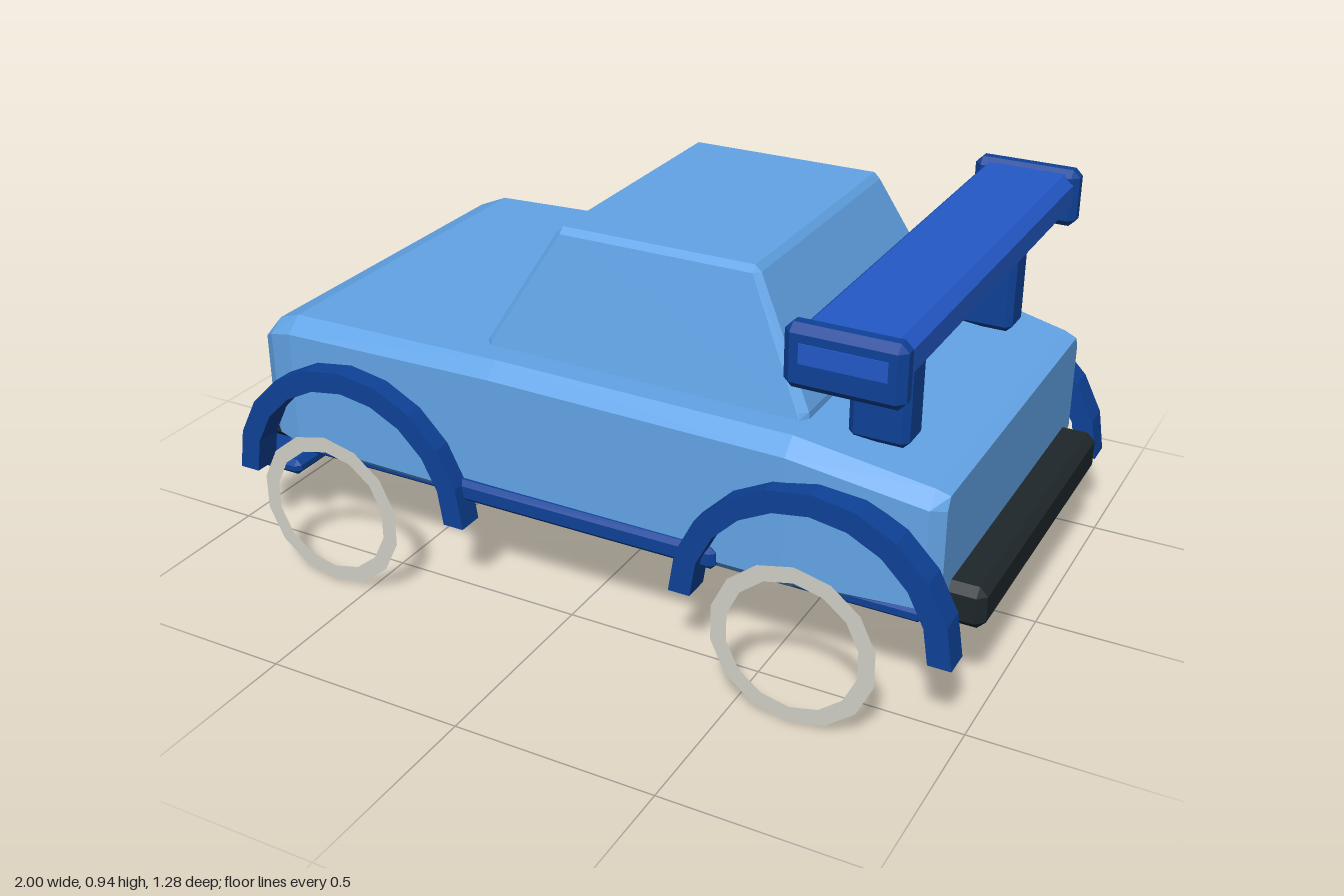
import * as THREE from 'three';
import { ConvexGeometry } from 'three/addons/geometries/ConvexGeometry.js';

const paint = (name, color) => {
  const m = new THREE.MeshStandardMaterial({ color });
  m.name = name;
  return m;
};

// Box given by its limits, with every edge chamfered by b
function chamferBox([x0, x1], [y0, y1], [z0, z1], b) {
  const c = [(x0 + x1) / 2, (y0 + y1) / 2, (z0 + z1) / 2];
  const h = [(x1 - x0) / 2, (y1 - y0) / 2, (z1 - z0) / 2];
  const pts = [];
  for (const sx of [-1, 1]) for (const sy of [-1, 1]) for (const sz of [-1, 1]) {
    for (let out = 0; out < 3; out++) {
      const d = h.map((v, i) => (i === out ? v : v - b));
      pts.push(new THREE.Vector3(c[0] + sx * d[0], c[1] + sy * d[1], c[2] + sz * d[2]));
    }
  }
  return new ConvexGeometry(pts);
}

// Convex shell through mirrored points [x, y, halfWidth]
function mirroredHull(rows) {
  const pts = [];
  for (const [x, y, w] of rows) for (const s of [-1, 1]) pts.push(new THREE.Vector3(x, y, s * w));
  return new ConvexGeometry(pts);
}

export function createModel() {
  const car = new THREE.Group();
  car.name = 'car';
  const lightBlue = paint('light blue paint', 0x62a4e6);
  const midBlue = paint('wing blue', 0x2359c8);
  const darkBlue = paint('dark blue trim', 0x0e4298);
  const black = paint('black plastic', 0x1e272b);
  const silver = paint('silver ring', 0xcfcfc6);
  silver.side = THREE.DoubleSide;

  const add = (name, geometry, material) => {
    const mesh = new THREE.Mesh(geometry, material);
    mesh.name = name;
    car.add(mesh);
    return mesh;
  };

  // Body: sections along x as [x, bottom, shoulder, shoulderWidth, top, topWidth]
  const sections = [
    [-0.91, 0.28, 0.54, 0.455, 0.54, 0.45],
    [-0.86, 0.265, 0.57, 0.495, 0.6, 0.455],
    [-0.79, 0.26, 0.59, 0.512, 0.628, 0.47],
    [-0.2, 0.26, 0.605, 0.522, 0.642, 0.485],
    [0.56, 0.26, 0.597, 0.526, 0.634, 0.485],
    [0.88, 0.26, 0.535, 0.49, 0.572, 0.455],
    [0.912, 0.28, 0.53, 0.465, 0.56, 0.45]
  ];
  const bodyRows = [];
  for (const [x, bottom, shoulder, w, top, tw] of sections) {
    bodyRows.push([x, bottom, w - 0.03], [x, bottom + 0.03, w], [x, shoulder, w], [x, top, tw]);
  }
  add('body', mirroredHull(bodyRows), lightBlue);

  // Cabin with thin chamfers round the roof and pillars
  add('cabin', mirroredHull([
    [-0.272, 0.635, 0.4], [-0.255, 0.635, 0.42], [0.545, 0.635, 0.42], [0.562, 0.635, 0.4],
    [-0.27, 0.65, 0.4], [-0.253, 0.65, 0.415], [0.543, 0.65, 0.415], [0.56, 0.65, 0.4],
    [-0.11, 0.93, 0.34], [-0.095, 0.93, 0.355], [0.395, 0.93, 0.355], [0.41, 0.93, 0.34],
    [-0.095, 0.945, 0.34], [0.395, 0.945, 0.34]
  ]), lightBlue);

  // Floor, bumpers and front splitter
  add('floor', chamferBox([-0.84, 0.9], [0.207, 0.285], [-0.43, 0.43], 0.02), black);
  add('frontBumper', chamferBox([-0.99, -0.88], [0.225, 0.33], [-0.425, 0.425], 0.02), black);
  add('rearBumper', chamferBox([0.88, 0.997], [0.225, 0.33], [-0.425, 0.425], 0.02), black);
  add('splitter', chamferBox([-1, -0.82], [0.17, 0.212], [-0.492, 0.492], 0.014), darkBlue);

  // Wheel arch outline: a half ring of flat segments
  const archShape = new THREE.Shape();
  const steps = 10;
  for (let i = 0; i <= 2 * steps + 1; i++) {
    const outer = i <= steps;
    const a = Math.PI * (outer ? i : 2 * steps + 1 - i) / steps;
    const r = outer ? 0.34 : 0.285;
    archShape[i ? 'lineTo' : 'moveTo'](r * Math.cos(a), r * Math.sin(a));
  }
  const archGeometry = new THREE.ExtrudeGeometry(archShape, { depth: 0.068, bevelEnabled: false });
  const ringGeometry = new THREE.RingGeometry(0.16, 0.2, 14, 1, Math.PI / 2);

  for (const side of [1, -1]) {
    const label = side > 0 ? 'left' : 'right';
    const span = (a, b) => (side > 0 ? [a, b] : [-b, -a]);

    // Arches and flat wheel rings
    for (const [end, x] of [['Front', -0.6], ['Rear', 0.64]]) {
      add(label + end + 'Arch', archGeometry, darkBlue)
        .position.set(x, 0.21, side > 0 ? 0.5 : -0.568);
      add(label + end + 'WheelRing', ringGeometry, silver).position.set(x, 0.21, side * 0.64);
    }

    // Side skirts
    add(label + 'Skirt', chamferBox([-0.36, 0.4], [0.27, 0.325], span(0.46, 0.54), 0.012), darkBlue);
    add(label + 'LowerSkirt', chamferBox([-0.84, 0.88], [0.258, 0.29], span(0.44, 0.5), 0.008), darkBlue);

    // Wing supports and end plates
    add(label + 'WingSupport', chamferBox([0.645, 0.787], [0.605, 0.86], span(0.295, 0.392), 0.015), darkBlue);
    add(label + 'WingEndPlate', chamferBox([0.58, 0.85], [0.805, 0.952], span(0.547, 0.606), 0.018), darkBlue);
    add(label + 'WingTip', new THREE.BoxGeometry(0.195, 0.045, 0.008).translate(0.717, 0.892, side * 0.605), midBlue);
  }

  // Rear wing
  add('rearWing', chamferBox([0.595, 0.838], [0.838, 0.942], [-0.6, 0.6], 0.025), midBlue);
  return car;
}
